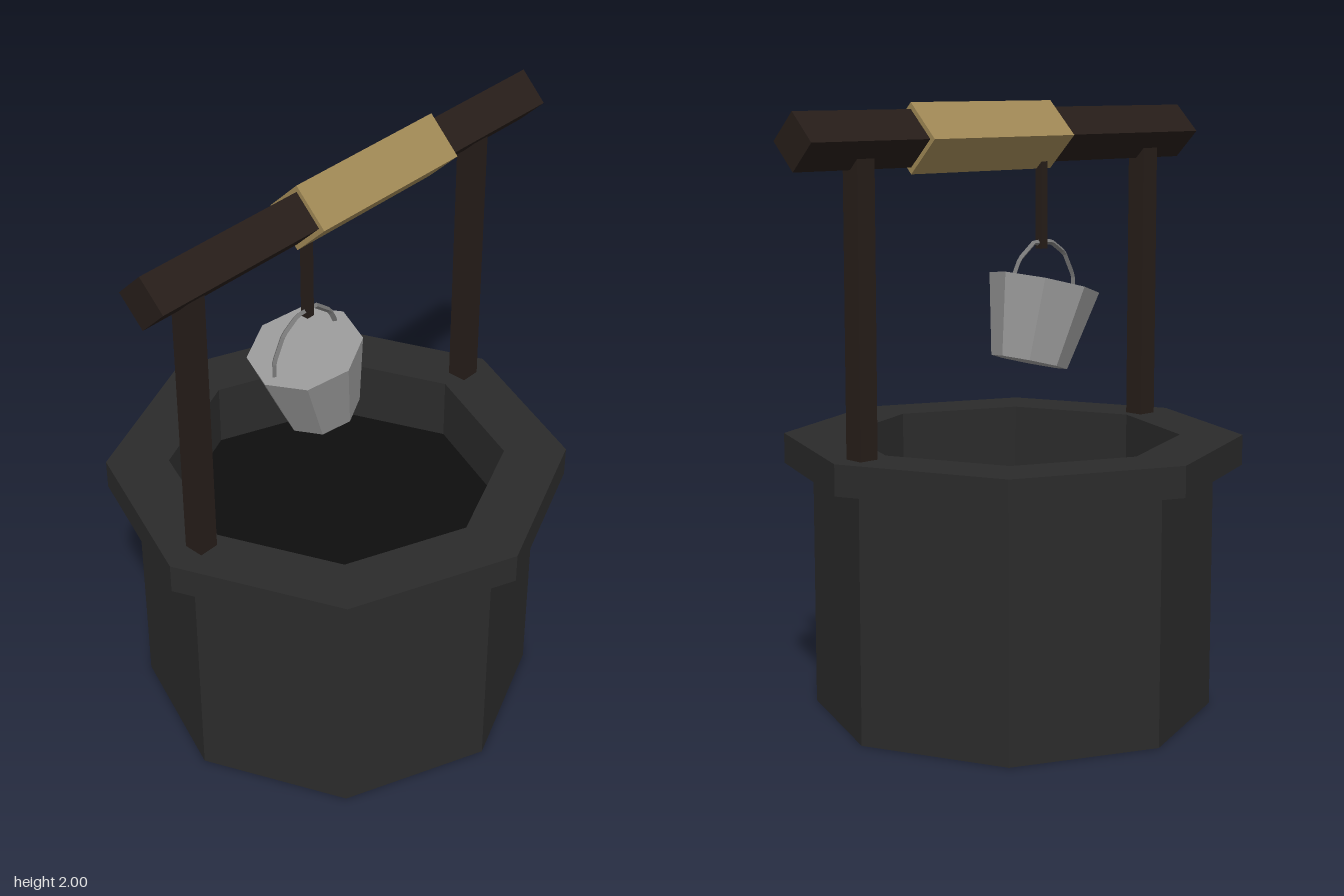
import * as THREE from 'three';

const paint = (color) => new THREE.MeshStandardMaterial({ color, flatShading: true });

export function createModel() {
  const group = new THREE.Group();
  group.name = 'well';
  const stone = paint(0x2b2b2b);
  const dark = paint(0x0e0e0e);
  const wood = paint(0x261d19);
  const rope = paint(0xa08855);
  const metal = paint(0x999999);
  const steel = paint(0x777777);

  function add(name, geometry, material, x = 0, y = 0, z = 0) {
    const mesh = new THREE.Mesh(geometry, material);
    mesh.name = name;
    mesh.position.set(x, y, z);
    group.add(mesh);
    return mesh;
  }

  const cx = -0.05; // axis of the stone shaft

  // Octagonal wall with overhanging rim and inner shaft
  const profile = [
    [0, 0], [0.66, 0], [0.66, 0.815], [0.755, 0.815],
    [0.755, 0.915], [0.55, 0.915], [0.55, 0.69],
  ].map(([r, y]) => new THREE.Vector2(r, y));
  add('stoneWall', new THREE.LatheGeometry(profile, 8), stone, cx);

  // Dark water surface inside the shaft
  const water = new THREE.CircleGeometry(0.55, 8);
  water.rotateX(-Math.PI / 2);
  add('water', water, dark, cx, 0.7);

  // Two upright posts
  for (const [name, x] of [['rightPost', -0.67], ['leftPost', 0.595]]) {
    add(name, new THREE.BoxGeometry(0.068, 0.95, 0.068), wood, x, 1.36);
  }

  // Square bars turned on edge: crossbeam and rope drum
  const bar = (name, length, halfDiagonal, material, x) => {
    const side = halfDiagonal * Math.SQRT2;
    add(name, new THREE.BoxGeometry(length, side, side), material, x, 1.89).rotation.x = Math.PI / 4;
  };
  bar('crossbeam', 1.69, 0.089, wood, 0);
  bar('ropeDrum', 0.605, 0.11, rope, 0.083);

  // Rope hanging down to the bucket
  add('rope', new THREE.BoxGeometry(0.028, 0.32, 0.028), wood, -0.17, 1.68, -0.01);

  // Tilted eight-sided bucket
  const bucket = add('bucket', new THREE.CylinderGeometry(0.184, 0.127, 0.267, 8), metal, -0.15, 1.278, -0.01);
  bucket.rotation.z = THREE.MathUtils.degToRad(15);

  // Bucket handle, a faceted wire arch
  const path = new THREE.CurvePath();
  const points = [
    [-0.32, 1.36], [-0.32, 1.42], [-0.277, 1.5], [-0.215, 1.54],
    [-0.135, 1.54], [-0.07, 1.49], [-0.04, 1.43], [-0.04, 1.38],
  ].map(([x, y]) => new THREE.Vector3(x, y, 0));
  for (let i = 1; i < points.length; i++) path.add(new THREE.LineCurve3(points[i - 1], points[i]));
  add('bucketHandle', new THREE.TubeGeometry(path, 28, 0.009, 4), steel, 0, 0, -0.01);

  return group;
}
